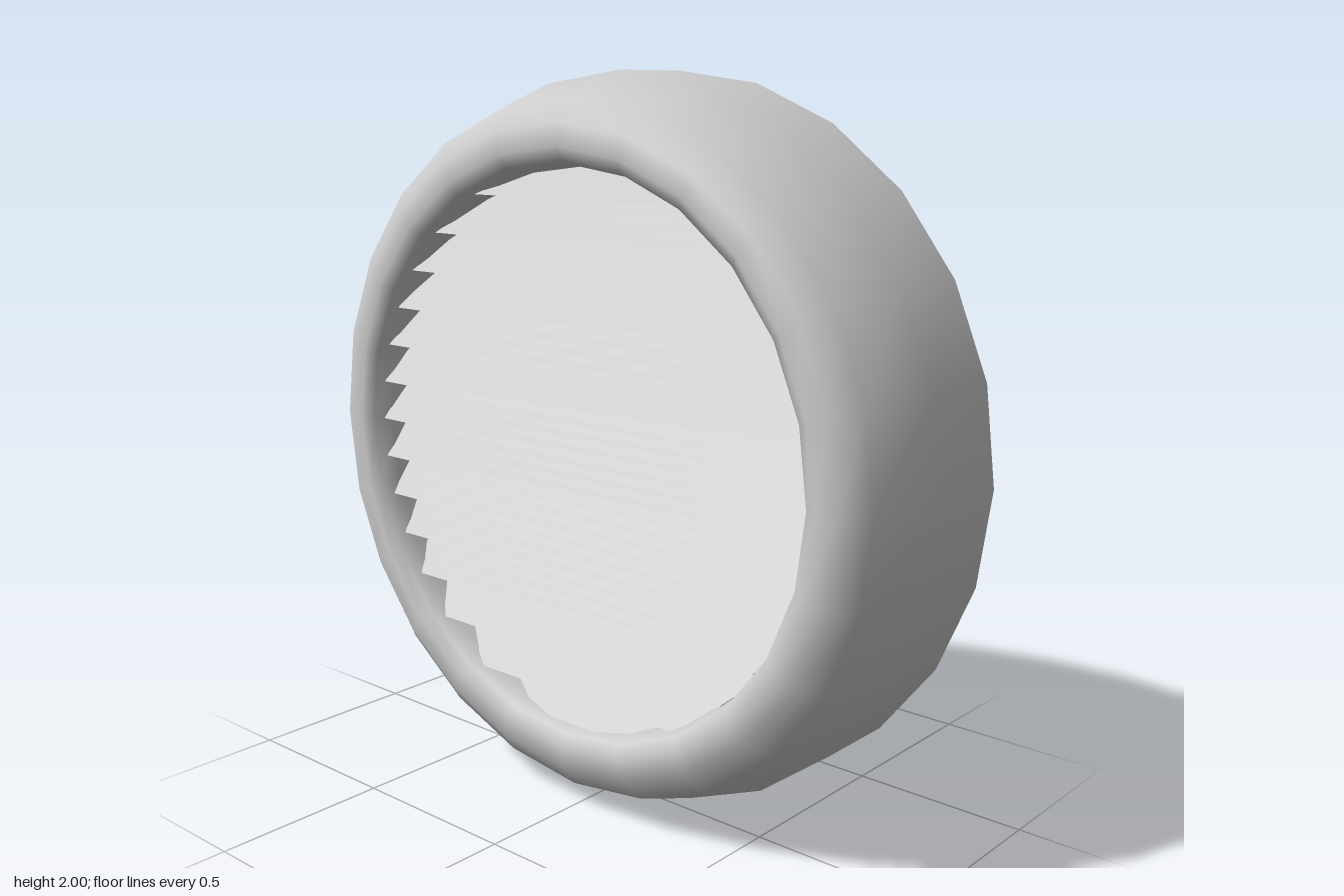
import * as THREE from 'three';

const SIDES = 24;
const BACK = -0.245;
const HOLE = 0.76;

// Revolves [radius, z] points around the z axis
function revolve(points) {
  const g = new THREE.LatheGeometry(points.map(([r, z]) => new THREE.Vector2(r, z)), SIDES);
  return g.rotateX(Math.PI / 2);
}

// One sloping slat clipped to the round opening, leaning back towards its top
function slatGeometry(y0, y1, zFront, zBack) {
  const steps = 4, pos = [];
  const quad = (a, b, c, d) => pos.push(...a, ...b, ...c, ...a, ...c, ...d);
  const rows = [];
  for (let j = 0; j <= steps; j++) {
    const t = j / steps;
    const y = y0 + (y1 - y0) * t;
    rows.push({ y, z: zFront + (zBack - zFront) * t, w: Math.sqrt(Math.max(0, HOLE * HOLE - y * y)) });
  }
  for (let j = 0; j < steps; j++) {
    const a = rows[j], b = rows[j + 1];
    quad([-a.w, a.y, a.z], [a.w, a.y, a.z], [b.w, b.y, b.z], [-b.w, b.y, b.z]);
    quad([a.w, a.y, a.z], [a.w, a.y, zBack], [b.w, b.y, zBack], [b.w, b.y, b.z]);
    quad([-a.w, a.y, zBack], [-a.w, a.y, a.z], [-b.w, b.y, b.z], [-b.w, b.y, zBack]);
  }
  const a = rows[0];
  quad([-a.w, a.y, zBack], [a.w, a.y, zBack], [a.w, a.y, a.z], [-a.w, a.y, a.z]);
  const g = new THREE.BufferGeometry();
  g.setAttribute('position', new THREE.Float32BufferAttribute(pos, 3));
  g.computeVertexNormals();
  return g;
}

export function createModel() {
  const grey = new THREE.MeshStandardMaterial({ color: 0xcccccc, side: THREE.DoubleSide });
  grey.name = 'light grey';
  const model = new THREE.Group();
  model.name = 'roundVent';
  const add = (name, geometry, parent = model) => {
    const mesh = new THREE.Mesh(geometry, grey);
    mesh.name = name;
    parent.add(mesh);
    return mesh;
  };

  // Rounded outer housing, rolled over the front lip into the opening
  add('housing', revolve([
    [1, BACK], [1, 0], [0.935, 0.19], [0.87, 0.24], [0.81, 0.245],
    [0.775, 0.225], [HOLE, 0.17], [HOLE, 0.02],
  ]));

  // Inner wall: a round rim narrowing to a twelve-sided floor
  const plateRadius = 0.965;
  const wall = revolve([[plateRadius, 0], [0.998, BACK]]);
  const p = wall.attributes.position;
  for (let i = 0; i < p.count; i++) {
    const onFloor = i % 2 === 0, column = Math.floor(i / 2);
    if (onFloor && column % 2 === 1) {
      const k = Math.cos(Math.PI / 12);
      p.setXY(i, p.getX(i) * k, p.getY(i) * k);
    }
  }
  add('innerWall', wall);

  // Floor of the rear recess, facing back
  add('backPlate', new THREE.CircleGeometry(plateRadius, 12).rotateY(Math.PI));

  // Disc carrying the slats, standing slightly proud of the floor
  const disc = new THREE.CylinderGeometry(0.745, 0.745, 0.13, SIDES).rotateX(Math.PI / 2);
  add('slatDisc', disc).position.z = 0.035;

  // Fourteen sloping slats
  const slats = new THREE.Group();
  slats.name = 'slats';
  model.add(slats);
  const count = 14, pitch = 0.1125;
  for (let i = 0; i < count; i++) {
    const y0 = Math.max(-HOLE + 0.005, (i - count / 2) * pitch);
    const y1 = Math.min(HOLE - 0.005, (i + 1 - count / 2) * pitch);
    add('slat', slatGeometry(y0, y1, 0.2, 0.1), slats);
  }

  model.children.forEach((part) => { part.position.y = 1; });
  return model;
}
